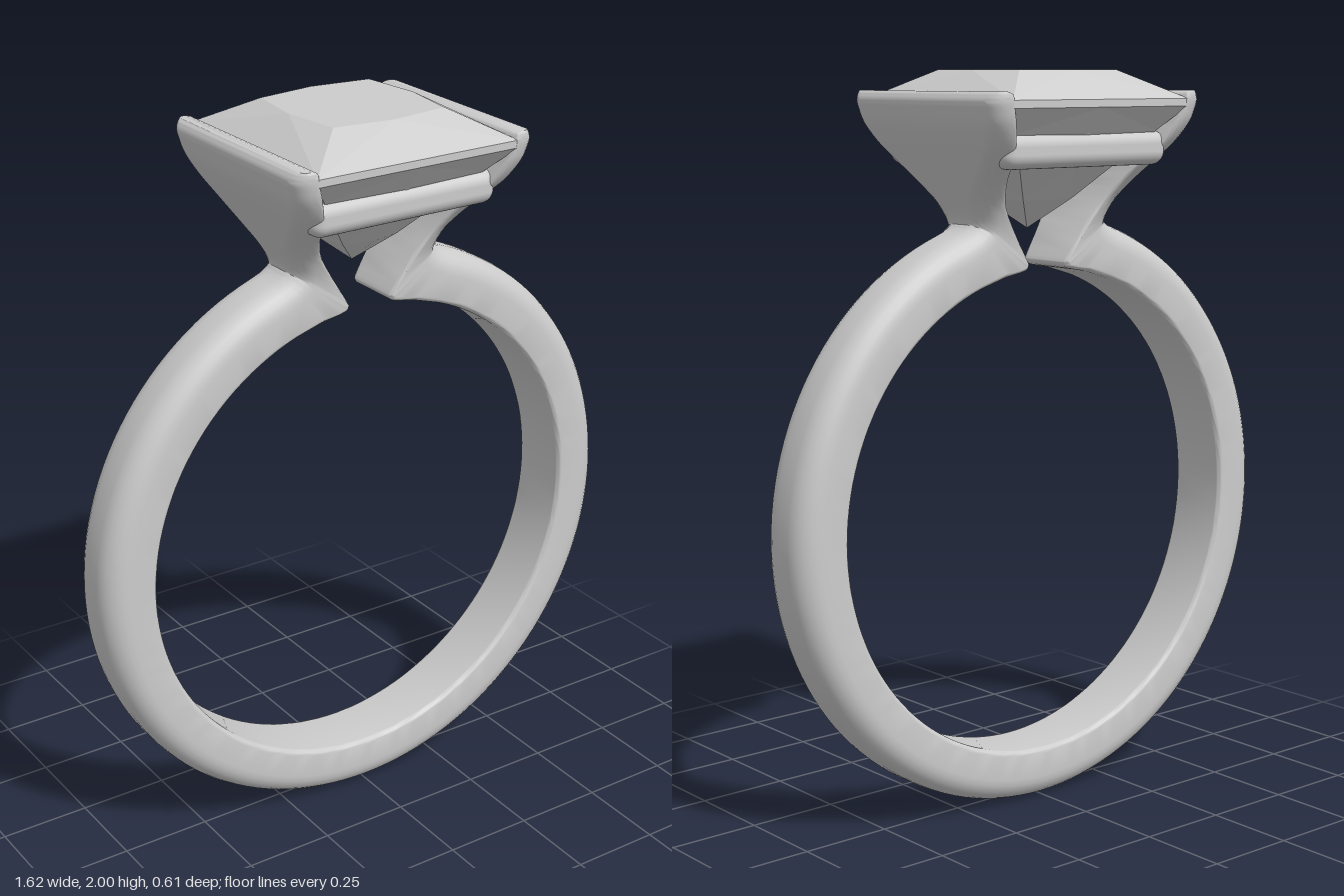
import * as THREE from 'three';
import { toCreasedNormals } from 'three/addons/utils/BufferGeometryUtils.js';
import { RoundedBoxGeometry } from 'three/addons/geometries/RoundedBoxGeometry.js';

const CY = 0.81, R_IN = 0.665, R_OUT = 0.81, HALF_W = 0.092;

// Cross-section, flat inside and domed outside, between an inner and an outer point
function section(inner, outer, w) {
  const e = outer.clone().sub(inner), t = e.length();
  e.normalize();
  const ro = Math.min(0.065, t * 0.7), ri = Math.min(0.015, t * 0.2), pts = [];
  const corners = [[t - ro, w - ro, ro, 0], [ri, w - ri, ri, 1], [ri, ri - w, ri, 2], [t - ro, ro - w, ro, 3]];
  for (const [u, v, r, q] of corners) {
    for (let k = 0; k <= 6; k++) {
      const a = (q + k / 6) * Math.PI / 2;
      const d = u + r * Math.cos(a);
      pts.push([inner.x + e.x * d, inner.y + e.y * d, v + r * Math.sin(a)]);
    }
  }
  return pts;
}

// Skin closed sections one after another and cap both ends
function loft(sections) {
  const n = sections[0].length, last = (sections.length - 1) * n, index = [];
  for (let i = 0; i < sections.length - 1; i++) {
    for (let j = 0; j < n; j++) {
      const a = i * n + j, d = i * n + (j + 1) % n;
      index.push(a, a + n, d + n, a, d + n, d);
    }
  }
  for (let j = 1; j < n - 1; j++) index.push(0, j, j + 1, last, last + j + 1, last + j);
  const g = new THREE.BufferGeometry();
  g.setAttribute('position', new THREE.Float32BufferAttribute(sections.flat(2), 3));
  g.setIndex(index);
  return toCreasedNormals(g, 0.75);
}

// Band that turns sharply upward at both ends into wide flared walls
function bandGeometry() {
  const half = [];
  for (let i = 0; i <= 60; i++) {
    const a = -Math.PI / 2 + (i / 60) * THREE.MathUtils.degToRad(160);
    const c = Math.cos(a), s = Math.sin(a);
    half.push([c * R_IN, CY + s * R_IN, c * R_OUT, CY + s * R_OUT, HALF_W]);
  }
  // inner x, inner y, outer x, outer y, half width
  const wall = [
    [0.14, 1.461, 0.25, 1.582, 0.092],
    [0.08, 1.472, 0.235, 1.592, 0.092],
    [0.065, 1.484, 0.23, 1.597, 0.092],
    [0.07, 1.50, 0.227, 1.603, 0.092],
    [0.115, 1.57, 0.235, 1.628, 0.099],
    [0.165, 1.645, 0.255, 1.667, 0.12],
    [0.20, 1.71, 0.28, 1.717, 0.165],
    [0.225, 1.76, 0.303, 1.765, 0.217],
    [0.25, 1.81, 0.325, 1.81, 0.262],
    [0.275, 1.865, 0.347, 1.86, 0.293],
    [0.288, 1.90, 0.357, 1.90, 0.303],
    [0.293, 1.925, 0.36, 1.92, 0.306],
    [0.298, 1.94, 0.352, 1.938, 0.305],
    [0.315, 1.946, 0.34, 1.946, 0.30],
  ];
  const inner = new THREE.CatmullRomCurve3(wall.map(p => new THREE.Vector3(p[0], p[1], p[4])), false, 'catmullrom');
  const outer = new THREE.CatmullRomCurve3(wall.map(p => new THREE.Vector3(p[2], p[3], 0)), false, 'catmullrom');
  const steps = (wall.length - 1) * 3;
  for (let i = 0; i <= steps; i++) {
    const p = inner.getPoint(i / steps), q = outer.getPoint(i / steps);
    half.push([p.x, p.y, q.x, q.y, p.z]);
  }
  const mirrored = half.slice(1).reverse().map(([a, b, c, d, w]) => [-a, b, -c, d, w]);
  return loft([...mirrored, ...half].map(([a, b, c, d, w]) =>
    section(new THREE.Vector2(a, b), new THREE.Vector2(c, d), w)));
}

// Square-cut stone: rings of four corners and four side midpoints
function stoneGeometry() {
  // height, corner offset, midpoint offset
  const rings = [
    [1.58, 0, 0],
    [1.66, 0.085, 0.105],
    [1.75, 0.165, 0.19],
    [1.84, 0.243, 0.25],
    [1.905, 0.303, 0.303],
    [1.925, 0.303, 0.303],
    [2.0, 0.168, 0.19],
  ].map(([y, c, m]) => [[c, c], [0, m], [-c, c], [-m, 0], [-c, -c], [0, -m], [c, -c], [m, 0]]
    .map(([x, z]) => [x, y, z]));
  const pos = [];
  const tri = (a, b, c) => pos.push(...a, ...b, ...c);
  for (let i = 0; i < rings.length - 1; i++) {
    const lo = rings[i], hi = rings[i + 1];
    for (let j = 0; j < 8; j++) {
      const k = (j + 1) % 8;
      // the diagonal always runs from a lower corner to an upper midpoint
      if (j % 2 === 0) {
        tri(lo[j], hi[k], lo[k]);
        tri(lo[j], hi[j], hi[k]);
      } else {
        tri(lo[j], hi[j], lo[k]);
        tri(lo[k], hi[j], hi[k]);
      }
    }
  }
  const table = rings[rings.length - 1];
  for (let j = 1; j < 7; j++) tri(table[0], table[j + 1], table[j]);
  const g = new THREE.BufferGeometry();
  g.setAttribute('position', new THREE.Float32BufferAttribute(pos, 3));
  g.computeVertexNormals();
  return g;
}

export function createModel() {
  const ring = new THREE.Group();
  ring.name = 'ring';
  const silver = new THREE.MeshStandardMaterial({ color: 0xcccccc });
  silver.name = 'silver';

  const add = (name, geometry) => {
    const mesh = new THREE.Mesh(geometry, silver);
    mesh.name = name;
    ring.add(mesh);
    return mesh;
  };

  add('bandAndWalls', bandGeometry());
  add('stone', stoneGeometry());

  // Rails joining the two walls below the stone
  for (const [name, side] of [['frontRail', 1], ['backRail', -1]]) {
    add(name, new RoundedBoxGeometry(0.56, 0.092, 0.085, 5, 0.036))
      .position.set(0, 1.796, side * 0.215);
  }
  return ring;
}
